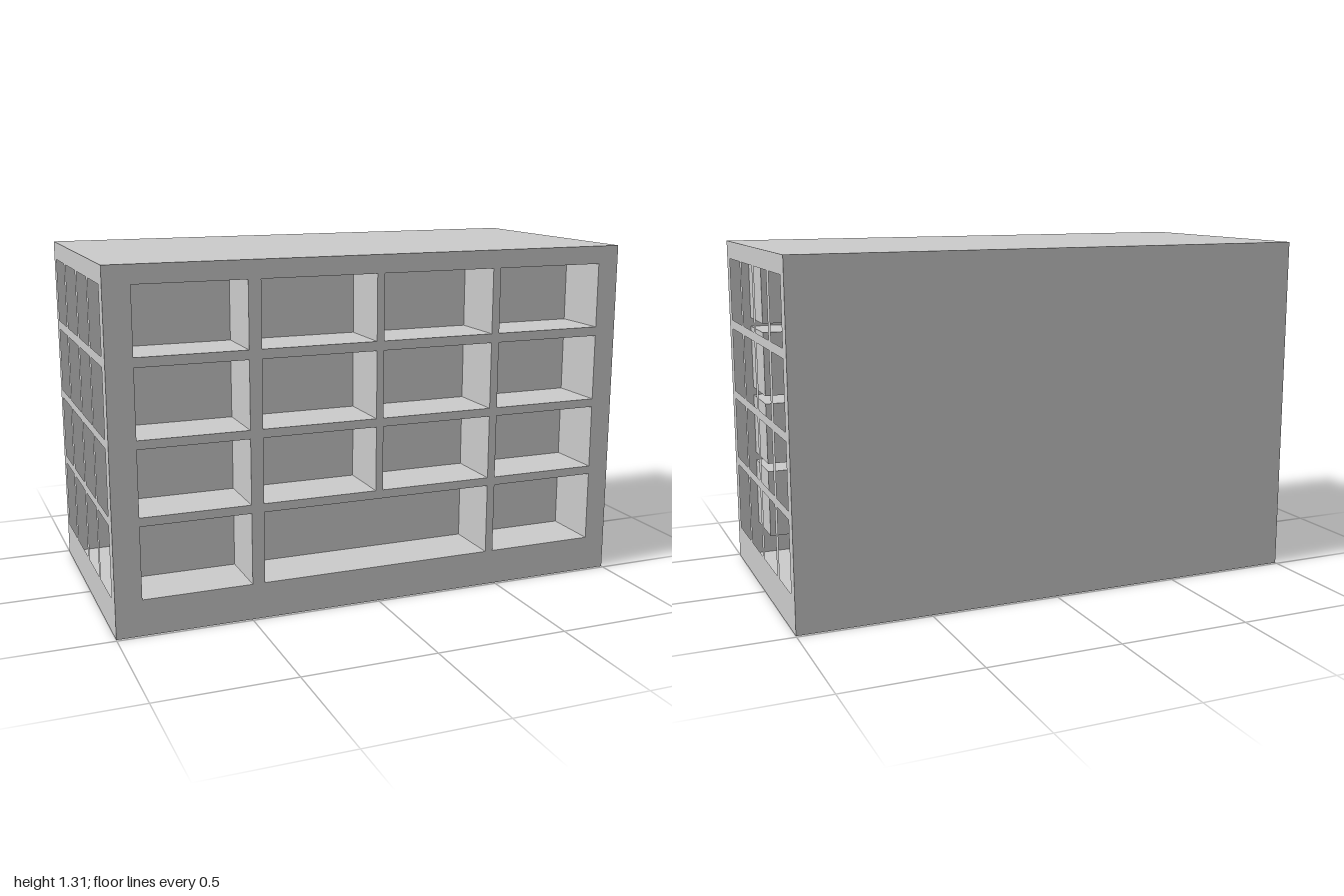
import * as THREE from 'three';

const W = 2, H = 1.31, D = 0.98, POCKET_DEPTH = 0.225;
const rows = [[0.135, 0.403], [0.435, 0.678], [0.71, 0.962], [0.997, 1.242]];
const frontColumns = [[-0.903, -0.497], [-0.45, -0.013], [0.015, 0.457], [0.488, 0.916]];
const sideColumns = [[-0.44, -0.265], [-0.225, -0.02], [0.017, 0.207], [0.24, 0.435]];

const material = new THREE.MeshStandardMaterial({ color: 0xcccccc, side: THREE.DoubleSide });

// Trace a rectangle onto a shape or hole path
function rect(path, [u0, u1], [v0, v1]) {
  path.moveTo(u0, v0).lineTo(u1, v0).lineTo(u1, v1).lineTo(u0, v1).closePath();
  return path;
}

// Thin wall, standing on y = 0, with rectangular openings
function wallGeometry(width, openings) {
  const shape = rect(new THREE.Shape(), [-width / 2, width / 2], [0, H]);
  for (const { u, v } of openings) shape.holes.push(rect(new THREE.Path(), u, v));
  return new THREE.ShapeGeometry(shape);
}

// Thin box keeping only the listed faces (0..5 = +x, -x, +y, -y, +z, -z)
function openBox(w, h, d, faces) {
  const geometry = new THREE.BoxGeometry(w, h, d);
  const index = Array.from(geometry.index.array);
  geometry.setIndex(faces.flatMap((f) => index.slice(f * 6, f * 6 + 6)));
  geometry.clearGroups();
  return geometry;
}

function add(parent, name, geometry) {
  const mesh = new THREE.Mesh(geometry, material);
  mesh.name = name;
  parent.add(mesh);
  return mesh;
}

export function createModel() {
  const building = new THREE.Group();
  building.name = 'building';

  // Roof, floor and plain back wall
  add(building, 'roofFloorAndBack', openBox(W, H, D, [2, 3, 5])).position.y = H / 2;

  // Front openings: a 4 x 4 grid whose two middle bays join on the ground row
  const frontOpenings = rows.flatMap((v, r) => {
    const [a, b, c, d] = frontColumns;
    const columns = r === 0 ? [a, [b[0], c[1]], d] : frontColumns;
    return columns.map((u) => ({ u, v }));
  });
  add(building, 'frontWall', wallGeometry(W, frontOpenings)).position.z = D / 2;

  // Recessed pocket behind every front opening, open towards the front
  const pockets = new THREE.Group();
  pockets.name = 'frontRecesses';
  building.add(pockets);
  for (const { u, v } of frontOpenings) {
    const geometry = openBox(u[1] - u[0], v[1] - v[0], POCKET_DEPTH, [0, 1, 2, 3, 5]);
    add(pockets, 'recess', geometry)
      .position.set((u[0] + u[1]) / 2, (v[0] + v[1]) / 2, (D - POCKET_DEPTH) / 2);
  }

  // Side walls with matching open window grids (local x runs along -z)
  const sideOpenings = rows.flatMap((v) => sideColumns.map(([z0, z1]) => ({ u: [-z1, -z0], v })));
  for (const side of [-1, 1]) {
    const wall = add(building, side > 0 ? 'leftWall' : 'rightWall', wallGeometry(D, sideOpenings));
    wall.rotation.y = Math.PI / 2;
    wall.position.x = side * W / 2;
  }

  return building;
}
